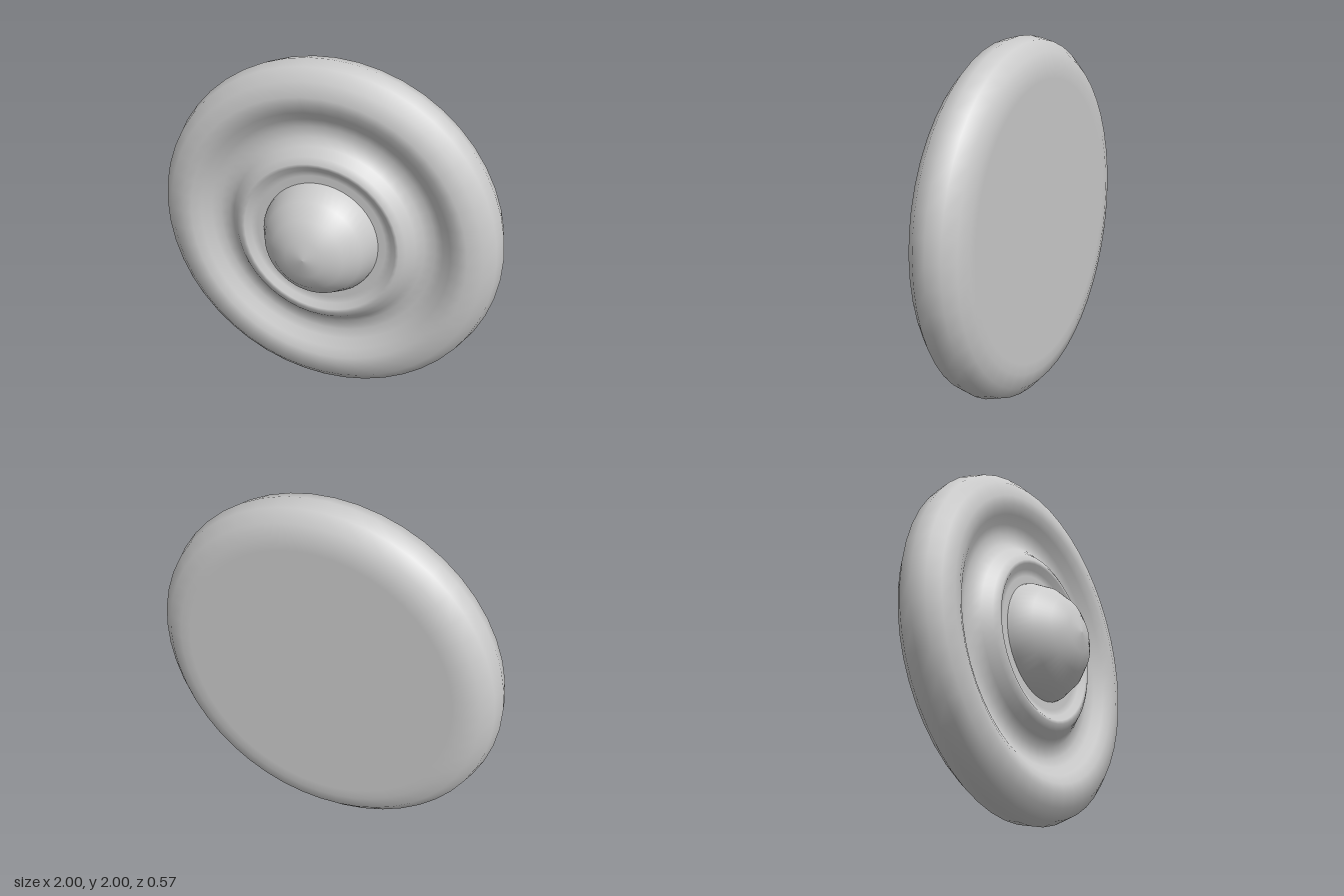
import * as THREE from 'three';

const SEGMENTS = 48;

// Turns a [radius, z] profile (listed back to front) around the z axis
function turned(name, profile, material) {
  const points = profile.map(([r, z]) => new THREE.Vector2(r, z));
  const geometry = new THREE.LatheGeometry(points, SEGMENTS);
  geometry.rotateX(Math.PI / 2);
  const mesh = new THREE.Mesh(geometry, material);
  mesh.name = name;
  mesh.position.y = 1;
  return mesh;
}

export function createModel() {
  const group = new THREE.Group();
  group.name = 'roundShield';
  const material = new THREE.MeshStandardMaterial({ color: 0xcccccc });

  // Disc: flat back, rounded rim, front groove, raised lip and shallow dish
  group.add(turned('disc', [
    [0, -0.285], [0.78, -0.285], [0.84, -0.285],
    [0.92, -0.262], [0.98, -0.205], [1, -0.125], [0.98, -0.045], [0.92, 0.012],
    [0.84, 0.035], [0.79, 0.03], [0.74, 0.005], [0.69, -0.03], [0.64, -0.05],
    [0.58, -0.045], [0.54, -0.01], [0.5, 0.035],
    [0.465, 0.056], [0.445, 0.054], [0.415, 0.03], [0.38, 0.02], [0, 0.02],
  ], material));

  // Central dome: a sphere cap whose base sits below the dish floor
  const radius = 0.35, steps = 5;
  const dome = [];
  for (let i = 0; i <= steps; i++) {
    const a = (i / steps) * Math.PI / 2;
    dome.push([radius * Math.cos(a), -0.065 + radius * Math.sin(a)]);
  }
  group.add(turned('dome', dome, material));

  return group;
}
